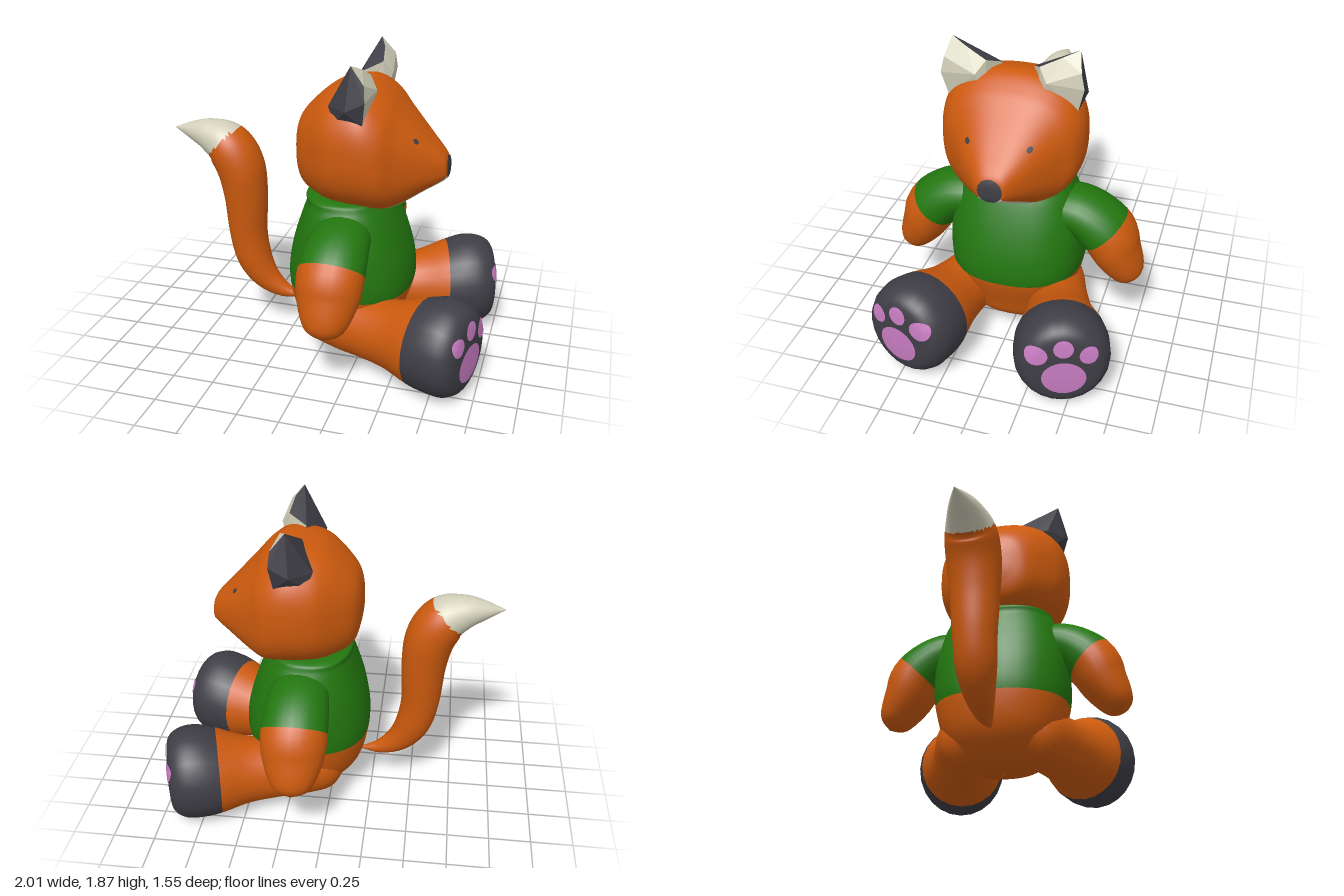
import * as THREE from 'three';
import { ConvexGeometry } from 'three/addons/geometries/ConvexGeometry.js';

const V = (x, y, z) => new THREE.Vector3(x, y, z);
const paint = (name, color) => Object.assign(new THREE.MeshStandardMaterial({ color }), { name });

// Smooth curve through rows of numbers, t counted in rows
function sample(rows, t) {
  const last = rows.length - 1;
  const i = Math.min(Math.floor(t), last - 1), f = t - i;
  const at = (k) => rows[Math.max(0, Math.min(last, k))];
  return rows[i].map((b, k) => {
    const a = at(i - 1)[k], c = at(i + 1)[k], d = at(i + 2)[k];
    const m = (c - a) / 2, n = (d - b) / 2;
    return b + m * f + (3 * (c - b) - 2 * m - n) * f * f + (2 * (b - c) + m + n) * f * f * f;
  });
}

// Skin over rounded rings; rows are [x, y, z, radius along u, radius across].
// pick(x, y, z, t) chooses the material of each face.
function loft(name, rows, u, { dir, power = 1, sides = 24, steps = 5, mats, pick = () => 0 }) {
  const n = (rows.length - 1) * steps, pos = [], lists = mats.map(() => []);
  const bend = (c) => Math.sign(c) * Math.abs(c) ** power;
  for (let i = 0; i <= n; i++) {
    const t = i / steps;
    const [x, y, z, a, b] = sample(rows, t);
    const p = sample(rows, Math.max(0, t - 0.1)), q = sample(rows, Math.min(rows.length - 1, t + 0.1));
    const axis = dir || V(q[0] - p[0], q[1] - p[1], q[2] - p[2]).normalize();
    const v = axis.clone().cross(u).normalize();
    for (let j = 0; j < sides; j++) {
      const w = (j / sides) * Math.PI * 2;
      const pt = V(x, y, z).addScaledVector(u, Math.max(a, 0.0005) * bend(Math.cos(w)))
        .addScaledVector(v, Math.max(b, 0.0005) * bend(Math.sin(w)));
      pos.push(pt.x, pt.y, pt.z);
    }
  }
  const face = (t, ...ids) => {
    const mid = [0, 1, 2].map((k) => ids.reduce((sum, id) => sum + pos[id * 3 + k], 0) / 3);
    lists[pick(...mid, t)].push(...ids);
  };
  for (let i = 0; i < n; i++) for (let j = 0; j < sides; j++) {
    const k = (j + 1) % sides, a = i * sides + j, b = i * sides + k, t = (i + 0.5) / steps;
    face(t, a, b, b + sides);
    face(t, a, b + sides, a + sides);
  }
  const geo = new THREE.BufferGeometry();
  geo.setAttribute('position', new THREE.Float32BufferAttribute(pos, 3));
  geo.setIndex(lists.flat());
  let start = 0;
  lists.forEach((list, m) => { geo.addGroup(start, list.length, m); start += list.length; });
  geo.computeVertexNormals();
  const mesh = new THREE.Mesh(geo, mats);
  mesh.name = name;
  return mesh;
}

// Thin oval patch laid onto a surface, seen from direction dir
function patch(name, target, centre, dir, rx, ry, mat) {
  const geo = new THREE.CircleGeometry(1, 28), p = geo.attributes.position;
  const ring = new THREE.RingGeometry(0.0001, 1, 28, 4);
  const use = rx > 0.03 ? ring : geo, q = use === ring ? ring.attributes.position : p;
  const up = V(0, 1, 0), right = up.clone().cross(dir).normalize();
  const ray = new THREE.Raycaster();
  target.updateMatrixWorld(true);
  for (let i = 0; i < q.count; i++) {
    const pt = centre.clone().addScaledVector(right, q.getX(i) * rx).addScaledVector(up, q.getY(i) * ry);
    ray.set(pt.clone().addScaledVector(dir, 2), dir.clone().negate());
    const hit = ray.intersectObject(target)[0];
    const out = (hit ? hit.point : pt).clone().addScaledVector(dir, 0.006);
    q.setXYZ(i, out.x, out.y, out.z);
  }
  use.computeVertexNormals();
  const mesh = new THREE.Mesh(use, mat);
  mesh.name = name;
  return mesh;
}

export function createModel() {
  const group = new THREE.Group();
  group.name = 'sittingFox';
  const orange = paint('orange fur', 0xcc5a0e), green = paint('green shirt', 0x23760f);
  const dark = paint('charcoal', 0x3f3e46), cream = paint('cream fur', 0xd2cfb9);
  const pink = paint('pink pads', 0xc87cc2);
  const X = V(1, 0, 0), Y = V(0, 1, 0), Z = V(0, 0, 1);

  // Torso: [y, back x, front x, half width]
  const torso = [
    [0.06, 0.15, 0.16, 0], [0.07, 0.02, 0.3, 0.16], [0.15, -0.1, 0.42, 0.28], [0.27, -0.185, 0.47, 0.35],
    [0.45, -0.225, 0.53, 0.4], [0.6, -0.22, 0.525, 0.41], [0.75, -0.19, 0.485, 0.4],
    [0.88, -0.15, 0.435, 0.37], [0.98, -0.115, 0.385, 0.33], [1.03, -0.1, 0.34, 0.28], [1.04, 0.12, 0.13, 0],
  ].map(([y, b, f, w]) => [(b + f) / 2, y, 0, (f - b) / 2, w]);
  group.add(loft('torso', torso, X, {
    dir: Y, power: 0.85, sides: 36, mats: [orange, green], pick: (x, y, z, t) => (t > 4 ? 1 : 0),
  }));

  // Head: [x, bottom y, top y, half width]
  const skull = [
    [-0.182, 1.31, 1.32, 0], [-0.165, 1.18, 1.44, 0.13], [-0.12, 1.065, 1.53, 0.23], [0, 1.005, 1.645, 0.34],
    [0.1, 0.985, 1.695, 0.395], [0.25, 0.975, 1.72, 0.415], [0.37, 0.97, 1.65, 0.385], [0.46, 0.995, 1.555, 0.305],
    [0.6, 1.085, 1.405, 0.185], [0.69, 1.14, 1.31, 0.1], [0.712, 1.165, 1.26, 0.065], [0.716, 1.205, 1.215, 0],
  ].map(([x, b, t, w]) => [x, (b + t) / 2, 0, w, (t - b) / 2]);
  const head = loft('head', skull, Z, {
    dir: X, power: 0.8, sides: 80, steps: 8, mats: [orange, cream],
    pick: (x, y, z) => (x > 0.36 && y < 1.18 && Math.abs(z) < 0.07 + (1.17 - y) * 0.8 ? 1 : 0),
  });
  group.add(head, patch('nose', head, V(0.7, 1.222, 0), X, 0.07, 0.07, dark));

  // Tail, curling up behind
  const tail = [
    [-0.17, 0.24, 0.005], [-0.3, 0.26, 0.045], [-0.42, 0.34, 0.082], [-0.5, 0.47, 0.108], [-0.537, 0.65, 0.118],
    [-0.545, 0.9, 0.135], [-0.575, 1.09, 0.148], [-0.65, 1.215, 0.142], [-0.76, 1.27, 0.105],
    [-0.87, 1.29, 0.062], [-1, 1.3, 0],
  ].map(([x, y, r]) => [x, y, 0, r * 1.06, r]);
  group.add(loft('tail', tail, Z, {
    sides: 32, steps: 8, mats: [orange, cream], pick: (x, y) => (y - x > 1.92 ? 1 : 0),
  }));

  for (const s of [1, -1]) {
    const side = s > 0 ? 'left' : 'right';
    // Eye
    group.add(patch(side + 'Eye', head, V(0.55, 1.415, 0.175 * s), X, 0.015, 0.015, dark));

    // Ear: cream front, charcoal back
    const ear = new ConvexGeometry([
      [0.22, 1.867, 0.36], [0.26, 1.83, 0.27], [0.28, 1.77, 0.15], [0.33, 1.7, 0.2], [0.3, 1.77, 0.385],
      [0.31, 1.68, 0.405], [0.29, 1.54, 0.37], [0.29, 1.55, 0.15], [0.08, 1.62, 0.31], [0.09, 1.62, 0.22],
      [0.12, 1.53, 0.33], [0.13, 1.54, 0.15], [0.17, 1.72, 0.09], [0.2, 1.62, 0.405],
    ].map(([x, y, z]) => V(x, y, z * s)));
    const normals = ear.attributes.normal;
    for (let i = 0; i < normals.count; i += 3) ear.addGroup(i, 3, normals.getX(i) > 0.3 ? 1 : 0);
    const earMesh = new THREE.Mesh(ear, [dark, cream]);
    earMesh.name = side + 'Ear';
    group.add(earMesh);

    // Arm with short sleeve
    const arm = [
      [0.84, 0.12, 0.15, 0.1], [0.835, 0.36, 0.18, 0.14], [0.72, 0.535, 0.195, 0.165],
      [0.58, 0.61, 0.18, 0.145], [0.43, 0.695, 0.11, 0.09], [0.385, 0.72, 0, 0],
    ].map(([y, z, a, b]) => [0.165, y, z * s, a, b]);
    group.add(loft(side + 'Arm', arm, X, { mats: [green, orange], pick: (x, y, z, t) => (t > 2 ? 1 : 0) }));

    // Leg and foot: [distance along leg, centre y, half width, half height]
    const dir = V(0.957, 0, 0.29 * s), across = V(-0.29, 0, 0.957 * s);
    const spot = (d, l, y) => dir.clone().multiplyScalar(d).addScaledVector(across, 0.185 + l).setY(y);
    const leg = [
      [-0.06, 0.25, 0, 0], [0.05, 0.25, 0.13, 0.15], [0.2, 0.255, 0.17, 0.185], [0.4, 0.257, 0.18, 0.192],
      [0.58, 0.267, 0.205, 0.212], [0.755, 0.282, 0.26, 0.265], [0.87, 0.292, 0.275, 0.29],
      [0.97, 0.292, 0.265, 0.282], [1.04, 0.292, 0.215, 0.23], [1.06, 0.292, 0.12, 0.13], [1.064, 0.292, 0, 0],
    ].map(([d, y, a, b]) => [...spot(d, 0, y).toArray(), a, b]);
    const legMesh = loft(side + 'Leg', leg, across, {
      dir, mats: [orange, dark], pick: (x, y, z, t) => (t > 5 ? 1 : 0),
    });
    group.add(legMesh);

    // Paw pads
    [[0.005, 0.245, 0.125, 0.115], [0.14, 0.405, 0.052, 0.055], [0, 0.45, 0.056, 0.056], [-0.15, 0.4, 0.064, 0.06]]
      .forEach(([l, y, rx, ry], i) => group.add(
        patch(side + (i ? 'ToePad' + i : 'SolePad'), legMesh, spot(1.04, l, y), dir, rx, ry, pink)));
  }
  return group;
}
